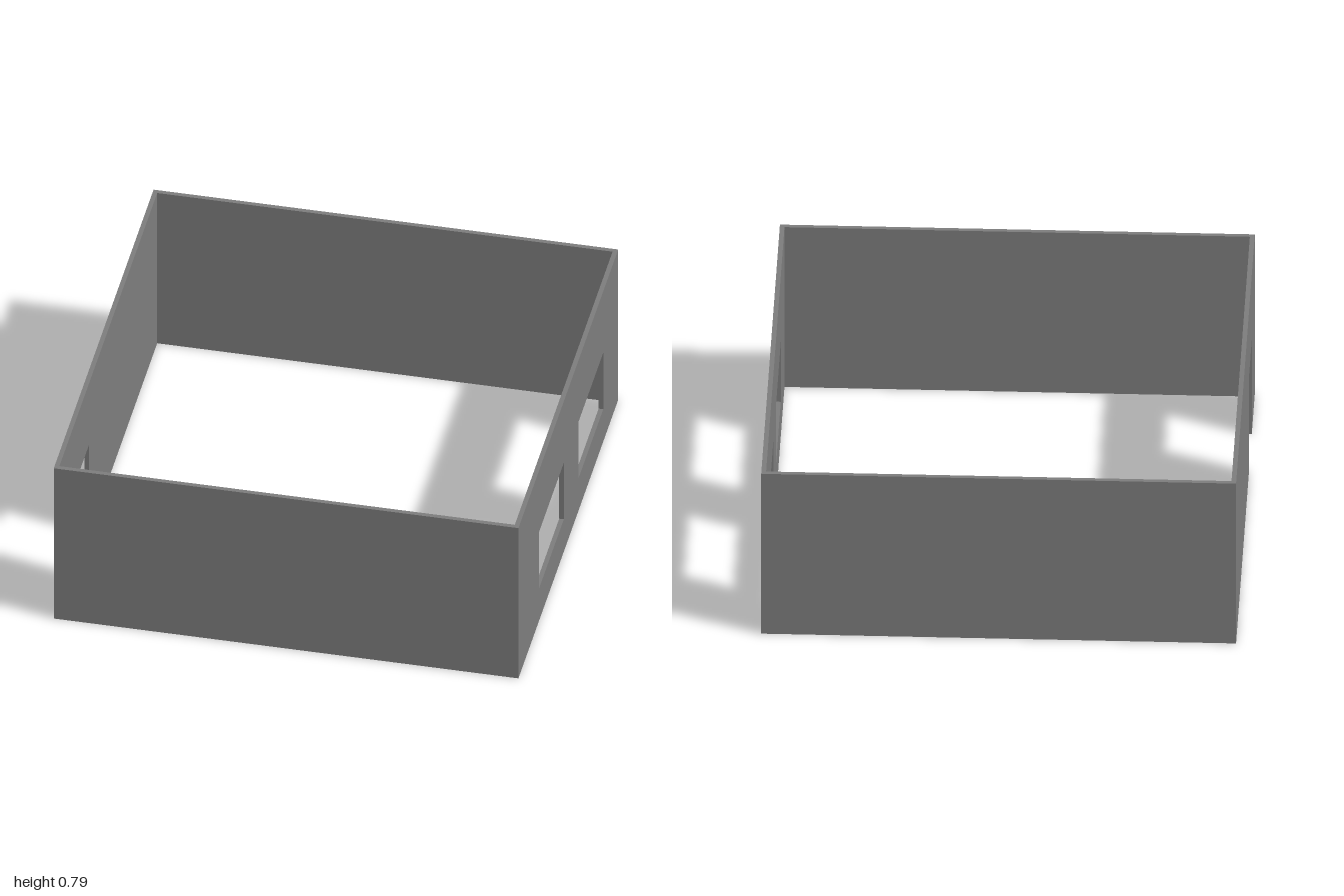
import * as THREE from 'three';

const HEIGHT = 0.79;
const THICK = 0.02;
const OPENING_TOP = 0.467;

// Closed outline from [x, y] corners
const outline = (Type, pts) => new Type(pts.map(([x, y]) => new THREE.Vector2(x, y)));

export function createModel() {
  const room = new THREE.Group();
  room.name = 'roomWalls';
  const material = new THREE.MeshStandardMaterial({ color: 0x7d7d7d });

  const add = (name, geometry, x, y, z) => {
    const mesh = new THREE.Mesh(geometry, material);
    mesh.name = name;
    mesh.position.set(x, y, z);
    room.add(mesh);
  };

  // Side walls: drawn in (z, y), extruded towards -x
  const sideWall = (name, shape, outerX) => {
    const geometry = new THREE.ExtrudeGeometry(shape, { depth: THICK, bevelEnabled: false });
    geometry.rotateY(-Math.PI / 2);
    add(name, geometry, outerX, 0, 0);
  };

  // Left wall with two windows
  const windowWall = outline(THREE.Shape, [[-1, 0], [1, 0], [1, HEIGHT], [-1, HEIGHT]]);
  for (const [z0, z1] of [[0.09, 0.585], [-0.7, -0.205]]) {
    windowWall.holes.push(outline(THREE.Path, [
      [z0, 0.17], [z0, OPENING_TOP], [z1, OPENING_TOP], [z1, 0.17],
    ]));
  }
  sideWall('windowWall', windowWall, 1);

  // Right wall with a doorway open to the floor
  const doorWall = outline(THREE.Shape, [
    [-1, 0], [0.383, 0], [0.383, OPENING_TOP], [0.68, OPENING_TOP], [0.68, 0],
    [1, 0], [1, HEIGHT], [-1, HEIGHT],
  ]);
  sideWall('doorWall', doorWall, -1 + THICK);

  // Plain front and back walls between the side walls
  for (const [name, side] of [['frontWall', 1], ['backWall', -1]]) {
    const geometry = new THREE.BoxGeometry(2 - 2 * THICK, HEIGHT, THICK);
    add(name, geometry, 0, HEIGHT / 2, side * (1 - THICK / 2));
  }

  return room;
}
